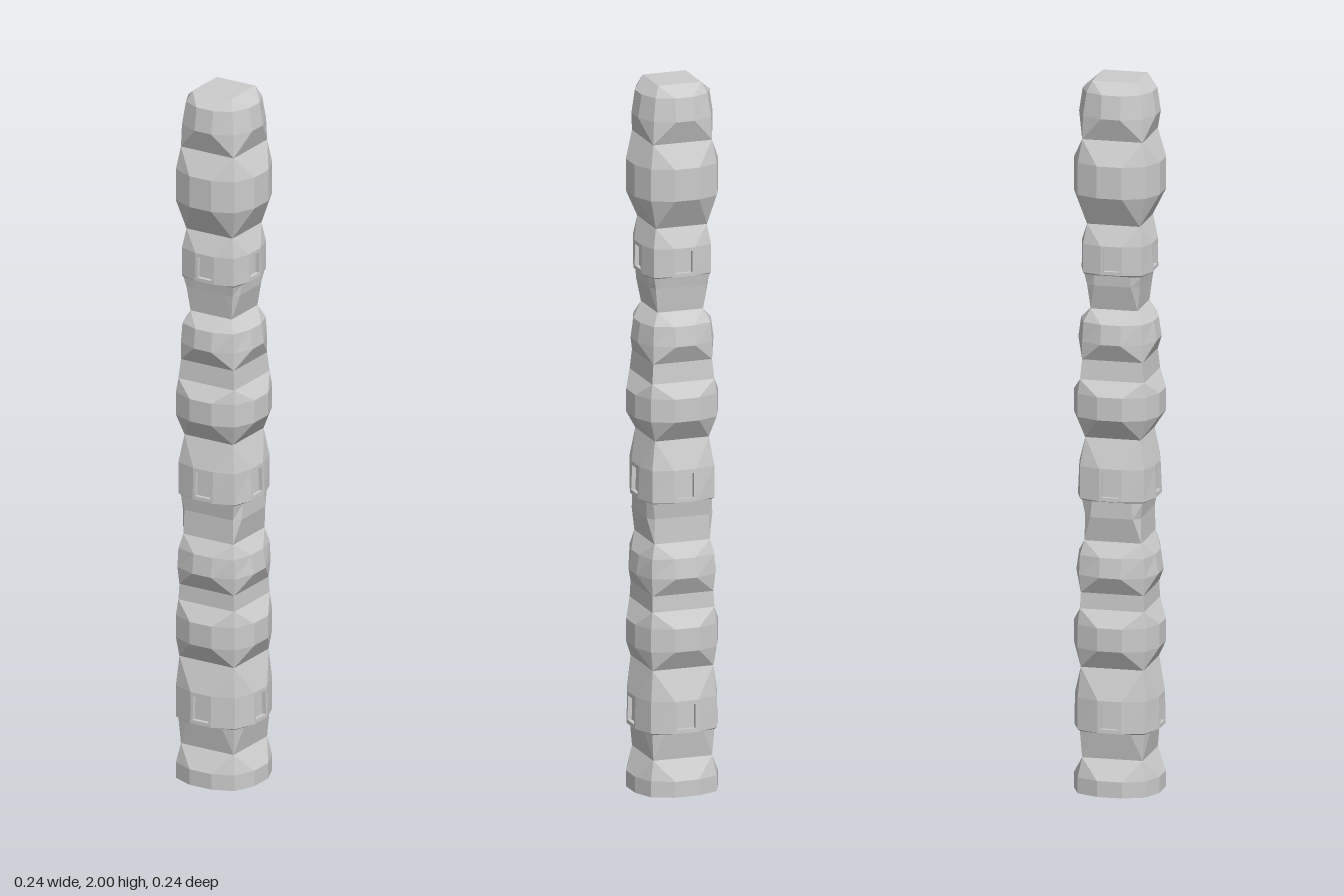
import * as THREE from 'three';

// Square neck: all points of a side gather in its two corners
const neck = (y, s) => ({ y, ax: s, az: s, c: s, w: s });
// Twelve-sided bulge: side distance a, corner c, half width w of the flat side
const bulge = (y, a, c, w = 0.035) => ({ y, ax: a, az: a, c, w });
// Band a little wider in x than in z
const band = (y, ax, az, c, w) => ({ y, ax, az, c, w });
// Bulge whose flat sides, up to the next ring, hold recessed windows
const windowed = (y, a, c, w) => ({ ...bulge(y, a, c, w), window: true });

// Rings from the foot to the top
const RINGS = [
  bulge(0, 0.12, 0.095), bulge(0.045, 0.12, 0.095), neck(0.1, 0.085),
  band(0.175, 0.1, 0.098, 0.09, 0.055), windowed(0.18, 0.12, 0.095, 0.033), bulge(0.27, 0.118, 0.095, 0.033),
  neck(0.355, 0.088), bulge(0.41, 0.12, 0.095), bulge(0.475, 0.12, 0.095),
  neck(0.52, 0.09), neck(0.565, 0.088),
  bulge(0.615, 0.115, 0.092, 0.03), bulge(0.67, 0.107, 0.09, 0.03), neck(0.71, 0.08),
  band(0.78, 0.095, 0.078, 0.078, 0.06), band(0.825, 0.095, 0.085, 0.085, 0.055),
  windowed(0.83, 0.11, 0.09, 0.032), bulge(0.92, 0.106, 0.09, 0.032),
  neck(1.0, 0.078), bulge(1.06, 0.12, 0.095), bulge(1.125, 0.12, 0.095),
  neck(1.165, 0.09), neck(1.22, 0.085),
  bulge(1.27, 0.11, 0.085, 0.028), bulge(1.325, 0.102, 0.082, 0.028), neck(1.36, 0.066),
  band(1.43, 0.085, 0.075, 0.074, 0.052), band(1.46, 0.088, 0.08, 0.08, 0.05),
  windowed(1.465, 0.1, 0.083, 0.03), bulge(1.545, 0.099, 0.083, 0.03),
  neck(1.6, 0.074), bulge(1.685, 0.121, 0.095), bulge(1.775, 0.121, 0.095),
  neck(1.84, 0.085), bulge(1.905, 0.108, 0.083, 0.027), bulge(1.97, 0.098, 0.075, 0.027),
  neck(2, 0.062),
];

// Twelve points of a ring: each side's two points, then the corner after it
function ringPoints({ y, ax, az, c, w }) {
  return [
    [-w, az], [w, az], [c, c],
    [ax, w], [ax, -w], [c, -c],
    [w, -az], [-w, -az], [-c, -c],
    [-ax, -w], [-ax, w], [-c, c],
  ].map(([x, z]) => new THREE.Vector3(x, y, z));
}

function columnGeometry() {
  const out = [];
  const tri = (a, b, c) => {
    const area = b.clone().sub(a).cross(c.clone().sub(a)).length();
    if (area > 1e-9) for (const p of [a, b, c]) out.push(p.x, p.y, p.z);
  };
  const quad = (a, b, c, d) => { tri(a, b, c); tri(a, c, d); };

  // Frame and recessed panel in place of a plain side
  const recess = (corners) => {
    const centre = corners.reduce((s, p) => s.add(p), new THREE.Vector3()).multiplyScalar(0.25);
    const normal = corners[1].clone().sub(corners[0])
      .cross(corners[3].clone().sub(corners[0])).normalize();
    const inner = corners.map((p) => p.clone().lerp(centre, 0.24));
    const floor = inner.map((p) => p.clone().addScaledVector(normal, -0.012));
    for (let i = 0; i < 4; i++) {
      const j = (i + 1) % 4;
      quad(corners[i], corners[j], inner[j], inner[i]);
      quad(inner[i], inner[j], floor[j], floor[i]);
    }
    quad(...floor);
  };

  const points = RINGS.map(ringPoints);
  for (let r = 0; r < RINGS.length - 1; r++) {
    const lo = points[r], hi = points[r + 1];
    for (let i = 0; i < 12; i++) {
      const j = (i + 1) % 12;
      const side = [lo[i], lo[j], hi[j], hi[i]];
      if (RINGS[r].window && i % 3 === 0) recess(side);
      else quad(...side);
    }
  }

  // Flat foot and top
  const foot = points[0], top = points[points.length - 1];
  for (let i = 1; i < 11; i++) {
    tri(foot[0], foot[i + 1], foot[i]);
    tri(top[0], top[i], top[i + 1]);
  }

  const geometry = new THREE.BufferGeometry();
  geometry.setAttribute('position', new THREE.Float32BufferAttribute(out, 3));
  geometry.computeVertexNormals();
  return geometry;
}

export function createModel() {
  const group = new THREE.Group();
  group.name = 'carvedPillar';
  const column = new THREE.Mesh(
    columnGeometry(),
    new THREE.MeshStandardMaterial({ color: 0xcccccc, flatShading: true }),
  );
  column.name = 'column';
  group.add(column);
  return group;
}
